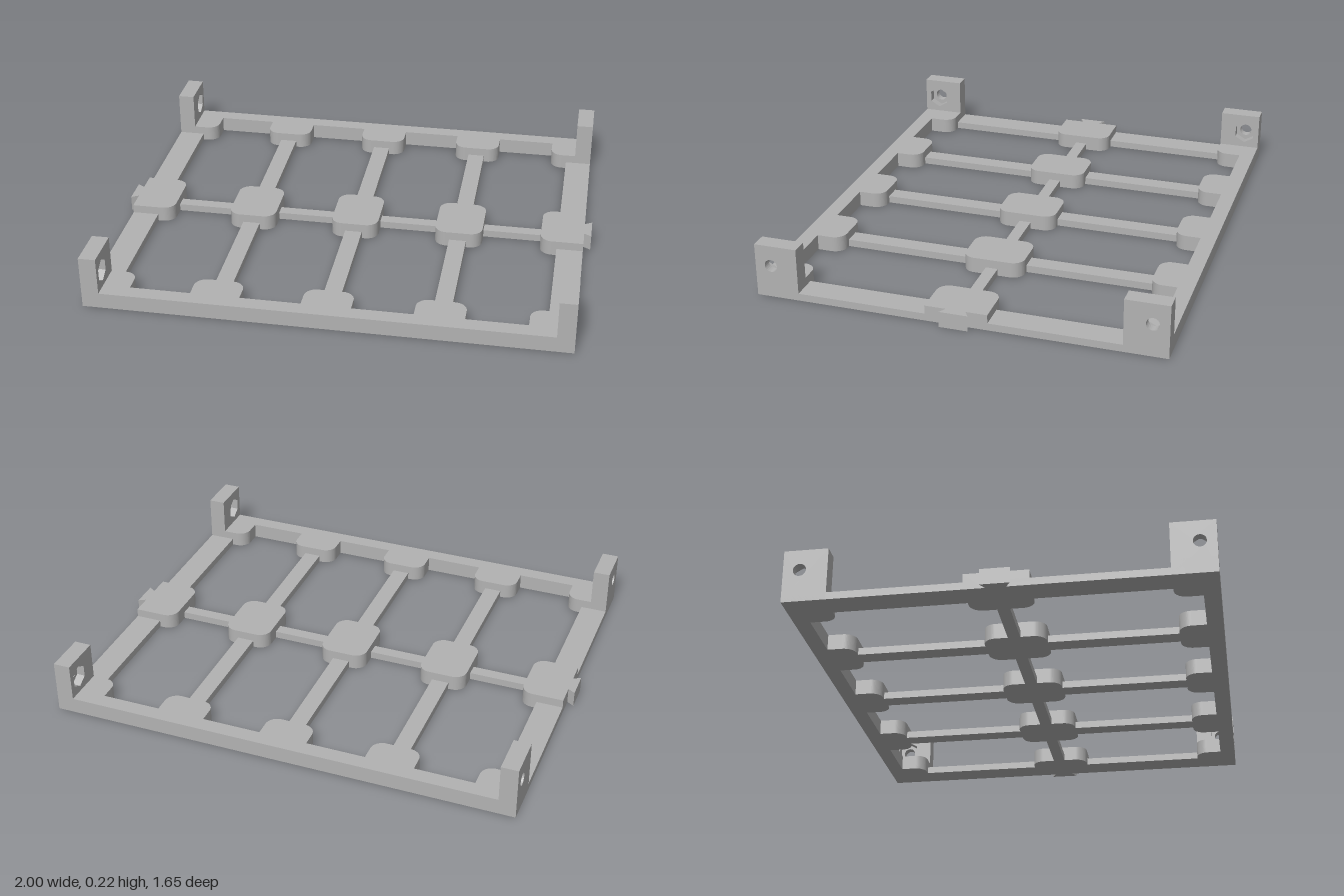
import * as THREE from 'three';

const W = 0.97, D = 0.825;          // half width and half depth of the frame
const TALL = 0.065, LOW = 0.03;     // heights of pads/rails and of thin bars
const R = 0.05;                     // pad corner radius
const COLS = [-0.445, 0, 0.445];    // columns of inner pads

export function createModel() {
  const model = new THREE.Group();
  model.name = 'trayFrame';
  const grey = new THREE.MeshStandardMaterial({ color: 0xb2b2b2 });
  grey.name = 'plainGrey';

  const add = (name, geo, parent = model) => {
    const mesh = new THREE.Mesh(geo, grey);
    mesh.name = name;
    parent.add(mesh);
    return mesh;
  };
  const box = (name, x0, x1, y0, y1, z0, z1, parent) => add(name,
    new THREE.BoxGeometry(x1 - x0, y1 - y0, z1 - z0)
      .translate((x0 + x1) / 2, (y0 + y1) / 2, (z0 + z1) / 2), parent);
  // Plan outline (x, -z) raised from the ground
  const slab = (name, shape, height, parent) => add(name,
    new THREE.ExtrudeGeometry(shape, { depth: height, bevelEnabled: false, curveSegments: 8 })
      .rotateX(-Math.PI / 2), parent);

  // Front and back rails with half pads growing inwards
  const inner = -0.65, edge = -0.76;
  const railShape = () => {
    const s = new THREE.Shape();
    s.moveTo(-W, -D);
    s.lineTo(W, -D);
    s.lineTo(W, inner);
    s.lineTo(0.79 + R, inner);
    s.absarc(0.79 + R, inner - R, R, Math.PI / 2, Math.PI, false);
    s.lineTo(0.79, edge);
    for (const x of [...COLS].reverse()) {
      s.lineTo(x + 0.1, edge);
      s.absarc(x + 0.1 - R, inner - R, R, 0, Math.PI / 2, false);
      s.absarc(x - 0.1 + R, inner - R, R, Math.PI / 2, Math.PI, false);
      s.lineTo(x - 0.1, edge);
    }
    s.lineTo(-0.79, edge);
    s.absarc(-0.79 - R, inner - R, R, 0, Math.PI / 2, false);
    s.lineTo(-W, inner);
    s.closePath();
    return s;
  };
  slab('frontRail', railShape(), TALL);
  slab('backRail', railShape(), TALL).rotation.y = Math.PI;

  // Middle pads, rounded on all corners
  const h = 0.126;
  for (const x of COLS) {
    const s = new THREE.Shape();
    s.absarc(x + 0.1 - R, h - R, R, 0, Math.PI / 2, false);
    s.absarc(x - 0.1 + R, h - R, R, Math.PI / 2, Math.PI, false);
    s.absarc(x - 0.1 + R, -h + R, R, Math.PI, Math.PI * 1.5, false);
    s.absarc(x + 0.1 - R, -h + R, R, Math.PI * 1.5, Math.PI * 2, false);
    s.closePath();
    slab('middlePad', s, TALL);
    box('longBar', x - 0.036, x + 0.036, 0, LOW, -0.7, 0.7);
  }
  box('crossBar', -0.9, 0.9, 0, LOW, -0.025, 0.025);

  // Corner post wall, standing along z, with a hole cut through
  const postLayer = (side, x0, x1, radius, sides, parent) => {
    const s = new THREE.Shape();
    const a = -side * D, b = side * inner;
    const u0 = Math.min(a, b), u1 = Math.max(a, b);
    s.moveTo(u0, 0);
    s.lineTo(u1, 0);
    s.lineTo(u1, 0.22);
    s.lineTo(u0, 0.22);
    s.closePath();
    const pts = [];
    for (let i = 0; i < sides; i++) {
      const t = -i / sides * Math.PI * 2 + Math.PI / 2;
      pts.push(new THREE.Vector2(-side * 0.76 + radius * Math.cos(t), 0.135 + radius * Math.sin(t)));
    }
    s.holes.push(new THREE.Path(pts));
    add('cornerPost', new THREE.ExtrudeGeometry(s, { depth: x1 - x0, bevelEnabled: false })
      .rotateY(Math.PI / 2).translate(x0, 0, 0), parent);
  };

  // The two sides are the same, turned half a circle
  for (const turn of [0, Math.PI]) {
    const end = new THREE.Group();
    end.name = turn ? 'rightSide' : 'leftSide';
    end.rotation.y = turn;
    model.add(end);

    box('sideBar', 0.86, W, 0, LOW, -0.7, 0.7, end);

    // End pad with a flared tab
    const s = new THREE.Shape();
    s.moveTo(W, -h);
    s.lineTo(W, -0.04);
    s.lineTo(1, -0.058);
    s.lineTo(1, 0.058);
    s.lineTo(W, 0.04);
    s.lineTo(W, h);
    s.absarc(0.79 + R, h - R, R, Math.PI / 2, Math.PI, false);
    s.absarc(0.79 + R, -h + R, R, Math.PI, Math.PI * 1.5, false);
    s.closePath();
    slab('endPad', s, TALL, end);

    // Posts: round bolt hole outside, six-sided nut pocket inside
    for (const side of [-1, 1]) {
      postLayer(side, 0.9, 0.935, 0.048, 6, end);
      postLayer(side, 0.935, W, 0.026, 24, end);
    }
  }
  return model;
}
